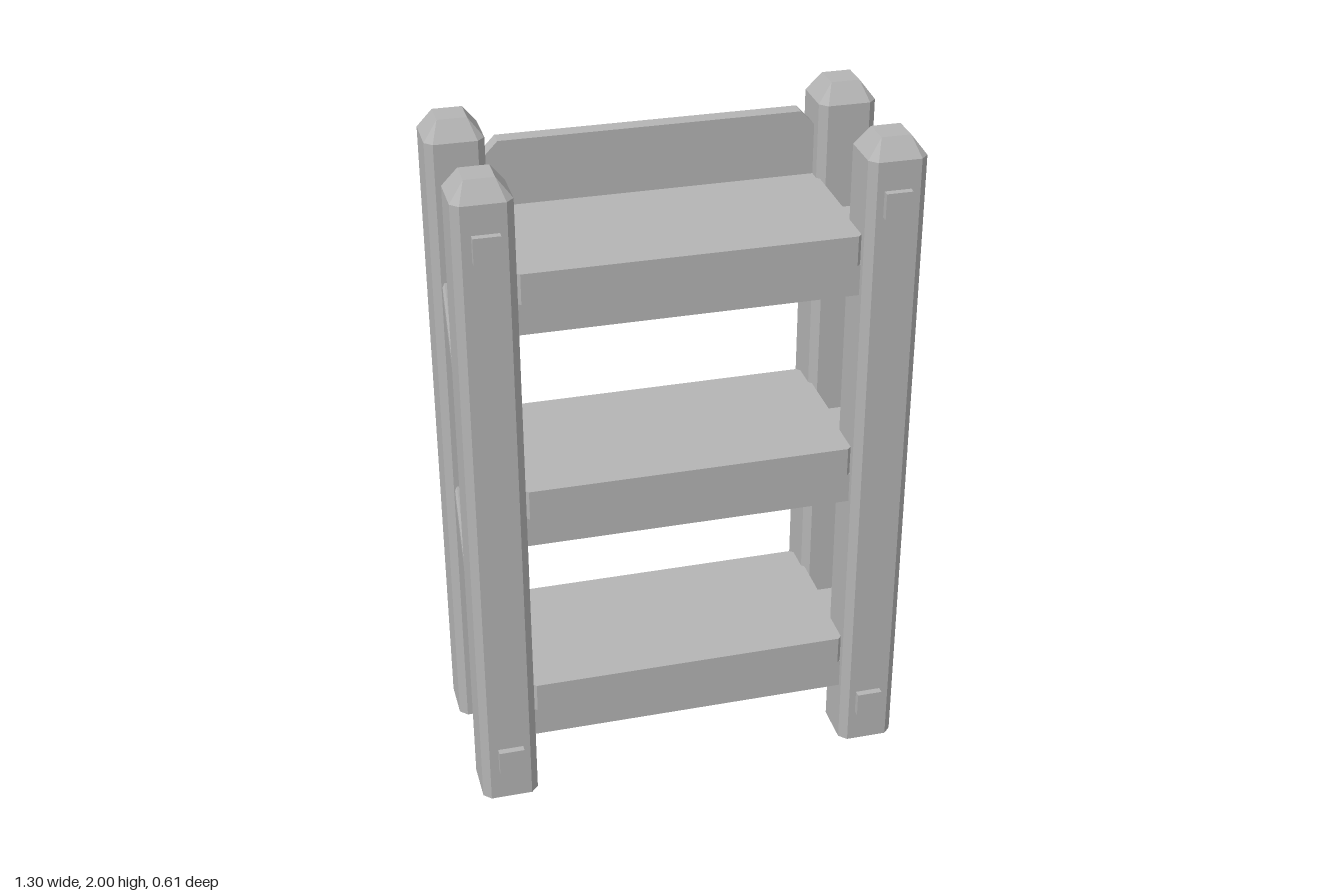
import * as THREE from 'three';

const wood = new THREE.MeshStandardMaterial({ color: 0xb4b4b4 });
wood.name = 'plain grey';
wood.flatShading = true;

const POST = 0.168, BEVEL = 0.022, SHOULDER = 1.945, TOP = 2;
const SHELF_TOPS = [0.37, 1.045, 1.72];
const FRONT_Z = 0.201, BACK_Z = -0.221, POST_X = 0.565;

// Corners of a rectangle with cut corners, counter-clockwise
function cutCorners(w, d, c) {
  const x = w / 2, y = d / 2;
  return [[x, -y + c], [x, y - c], [x - c, y], [-x + c, y],
    [-x, y - c], [-x, -y + c], [-x + c, -y], [x - c, -y]];
}

// Upright prism with cut corners, standing on y = 0
function bevelledPrism(w, d, c, height) {
  const shape = new THREE.Shape(cutCorners(w, d, c).map(p => new THREE.Vector2(...p)));
  const g = new THREE.ExtrudeGeometry(shape, { depth: height, bevelEnabled: false });
  return g.rotateX(-Math.PI / 2);
}

// Tapered cap from the post's eight corners to a small square
function capGeometry() {
  const h = TOP - SHOULDER, t = 0.042, pos = [];
  const low = cutCorners(POST, POST, BEVEL).map(([x, z]) => [x, 0, -z]);
  const high = low.map(([x, , z]) => [Math.sign(x) * t, h, Math.sign(z) * t]);
  for (let i = 0; i < 8; i++) {
    const j = (i + 1) % 8;
    pos.push(...low[i], ...low[j], ...high[j]);
    if (i % 2 === 0) pos.push(...low[i], ...high[j], ...high[i]);
  }
  pos.push(-t, h, -t, -t, h, t, t, h, t, -t, h, -t, t, h, t, t, h, -t);
  const g = new THREE.BufferGeometry();
  g.setAttribute('position', new THREE.Float32BufferAttribute(pos, 3));
  g.computeVertexNormals();
  return g;
}

export function createModel() {
  const model = new THREE.Group();
  model.name = 'shelfRack';

  function add(name, geometry, x, y, z) {
    const mesh = new THREE.Mesh(geometry, wood);
    mesh.name = name;
    mesh.position.set(x, y, z);
    model.add(mesh);
    return mesh;
  }
  // Box given by its lower and upper limits in y and z
  function bar(name, x, w, y0, y1, z0, z1) {
    return add(name, new THREE.BoxGeometry(w, y1 - y0, z1 - z0), x, (y0 + y1) / 2, (z0 + z1) / 2);
  }

  const postGeo = bevelledPrism(POST, POST, BEVEL, SHOULDER);
  const capGeo = capGeometry();
  const shelfGeo = bevelledPrism(0.98, 0.5, 0.02, 0.09);
  const braceGeo = bevelledPrism(0.03, 0.03, 0.006, 0.62).translate(0, -0.31, 0);

  for (const side of [-1, 1]) {
    const sideName = side > 0 ? 'left' : 'right';
    // Corner posts with tapered caps
    for (const [end, z] of [['Front', FRONT_Z], ['Back', BACK_Z]]) {
      add(sideName + end + 'Post', postGeo, side * POST_X, 0, z);
      add(sideName + end + 'Cap', capGeo, side * POST_X, SHOULDER, z);
    }
    // Square pegs on the front posts
    for (const y of [0.143, 1.823]) {
      bar(sideName + 'Peg', side * 0.562, 0.076, y - 0.038, y + 0.038, 0.27, 0.305);
    }
    // Cleats joining front and back posts
    for (const y of SHELF_TOPS) {
      bar(sideName + 'Cleat', side * 0.563, 0.065, y - 0.16, y - 0.09, BACK_Z, FRONT_Z);
    }
    // Diagonal braces rising towards the back
    for (const y of [0.579, 1.254]) {
      const brace = add(sideName + 'Brace', braceGeo, side * 0.609, y, -0.009);
      brace.rotation.x = -Math.atan2(0.255, 0.4825);
    }
  }

  // Shelves, each with a rail under its front edge
  for (const y of SHELF_TOPS) {
    add('shelf', shelfGeo, 0, y - 0.09, 0.002);
    bar('frontRail', 0, 0.98, y - 0.183, y - 0.09, 0.195, 0.245);
  }

  // Back board with clipped upper corners
  const boardShape = new THREE.Shape([[-0.485, 1.72], [0.485, 1.72], [0.485, 1.868],
    [0.44, 1.915], [-0.44, 1.915], [-0.485, 1.868]].map(p => new THREE.Vector2(...p)));
  add('backBoard', new THREE.ExtrudeGeometry(boardShape, { depth: 0.048, bevelEnabled: false }), 0, 0, -0.242);

  return model;
}
